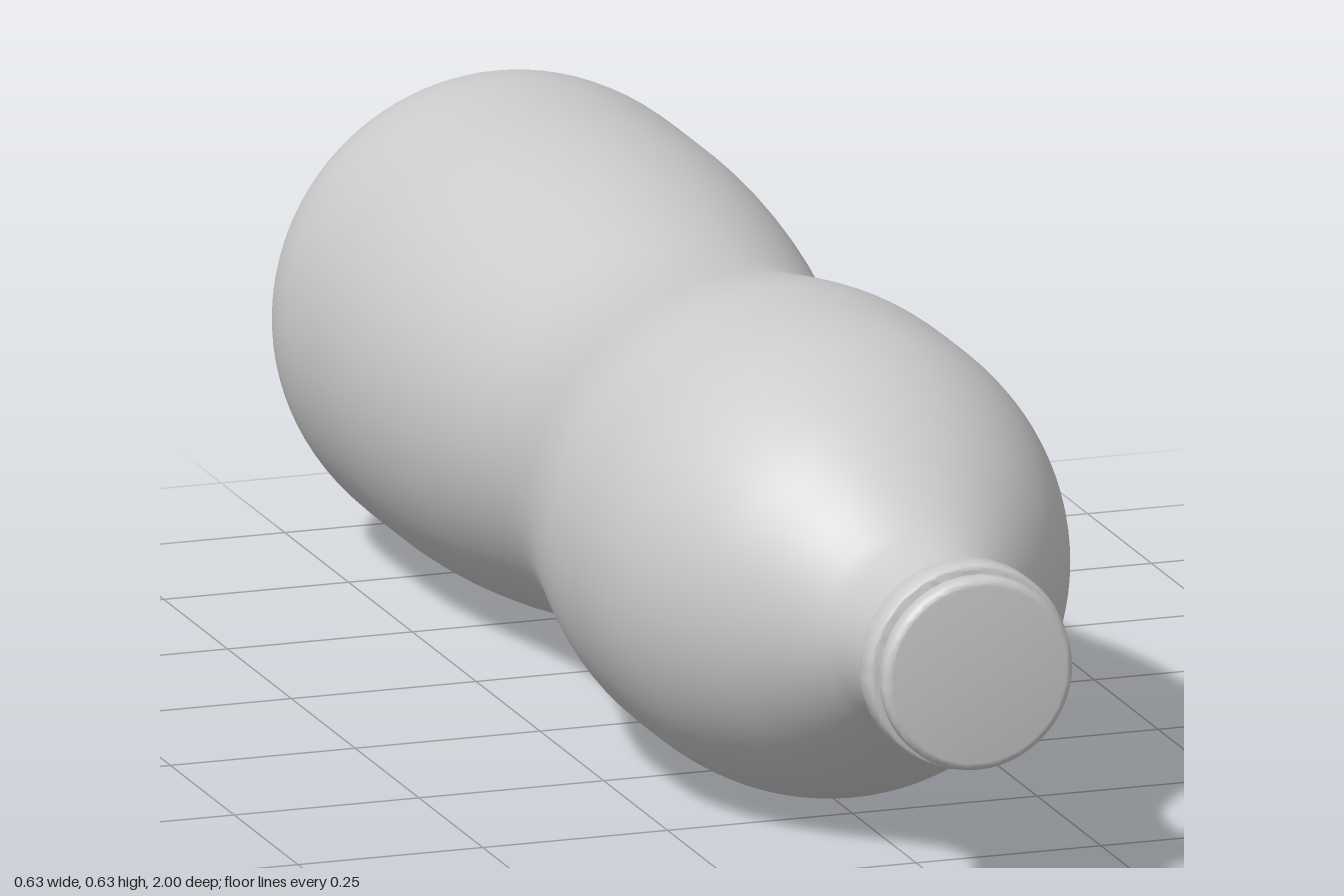
import * as THREE from 'three';
import { toCreasedNormals } from 'three/addons/utils/BufferGeometryUtils.js';

const RADIUS = 0.315;

// Revolve [radius, z] pairs, ordered back to front, around the bottle's lying axis
function turned(name, points, material, crease) {
  let geometry = new THREE.LatheGeometry(points.map(([r, z]) => new THREE.Vector2(r, z)), 96);
  if (crease) geometry = toCreasedNormals(geometry, crease);
  geometry.rotateX(Math.PI / 2);
  const mesh = new THREE.Mesh(geometry, material);
  mesh.name = name;
  mesh.position.y = RADIUS;
  return mesh;
}

// Closed disc-like collar with rounded rims
function collar(radius, z0, z1, bevel) {
  const points = [[0, z0]];
  for (let i = 0; i <= 5; i++) {
    const a = (i / 5) * Math.PI / 2;
    points.push([radius - bevel + bevel * Math.sin(a), z0 + bevel - bevel * Math.cos(a)]);
  }
  for (let i = 0; i <= 5; i++) {
    const a = (i / 5) * Math.PI / 2;
    points.push([radius - bevel + bevel * Math.cos(a), z1 - bevel + bevel * Math.sin(a)]);
  }
  points.push([0, z1]);
  return points;
}

export function createModel() {
  const group = new THREE.Group();
  group.name = 'bottle';
  const material = new THREE.MeshStandardMaterial({ color: 0xcccccc });

  // Body: rounded base, pinched waist, sloping shoulder and neck
  const outline = [
    [0.2, -1], [0.222, -0.995], [0.25, -0.978], [0.28, -0.945], [0.302, -0.9],
    [0.312, -0.85], [RADIUS, -0.78], [RADIUS, -0.64], [0.31, -0.54], [0.298, -0.43],
    [0.277, -0.3], [0.265, -0.21], [0.262, -0.14], [0.266, -0.07], [0.279, 0.02],
    [0.3, 0.12], [0.312, 0.2], [RADIUS, 0.27], [RADIUS, 0.36], [0.308, 0.44],
    [0.288, 0.52], [0.25, 0.61], [0.2, 0.69], [0.152, 0.76], [0.132, 0.795],
    [0.123, 0.83], [0.12, 0.87], [0.12, 0.94],
  ];
  const curve = new THREE.CatmullRomCurve3(outline.map(([r, z]) => new THREE.Vector3(r, z, 0)));
  const body = curve.getPoints(140).map((p) => [Math.min(p.x, RADIUS), Math.max(p.y, -1)]);
  group.add(turned('body', [[0, -1], [0.19, -1], ...body], material));

  // Mouth: collar ring, recessed groove and closed cap
  group.add(turned('neckRing', collar(0.136, 0.917, 0.963, 0.008), material, 0.6));
  group.add(turned('capGroove', collar(0.119, 0.94, 0.985, 0.003), material, 0.6));
  group.add(turned('cap', collar(0.128, 0.968, 1, 0.011), material, 0.6));

  return group;
}
